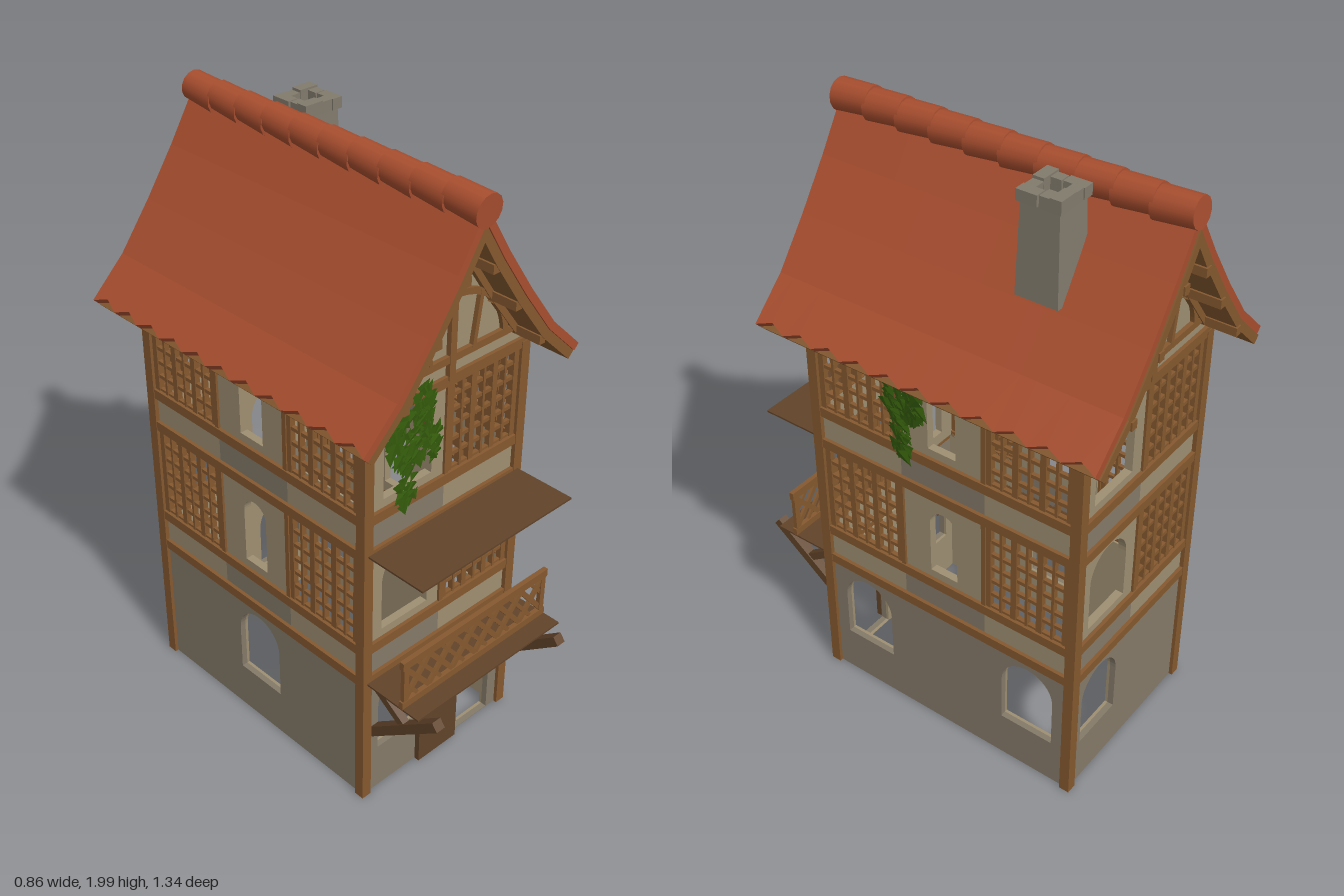
import * as THREE from 'three';

const mat = (name, color, side = THREE.FrontSide) => {
  const m = new THREE.MeshStandardMaterial({ color, side });
  m.name = name;
  return m;
};

export function createModel() {
  const wood = mat('timber', 0x85592f), dark = mat('dark wood', 0x614329);
  const plaster = mat('plaster', 0x9e8f72), stone = mat('stone wall', 0x857a69);
  const tile = mat('roof tile', 0xa84e2f), rock = mat('chimney stone', 0x827b6d);
  const leaf = mat('ivy leaf', 0x3a650e, THREE.DoubleSide);
  const house = new THREE.Group();
  house.name = 'timberHouse';

  const add = (parent, name, geo, material, x = 0, y = 0, z = 0) => {
    const m = new THREE.Mesh(geo, material);
    m.name = name;
    m.position.set(x, y, z);
    parent.add(m);
    return m;
  };
  const box = (parent, name, material, x0, x1, y0, y1, z0, z1) =>
    add(parent, name, new THREE.BoxGeometry(x1 - x0, y1 - y0, z1 - z0), material,
      (x0 + x1) / 2, (y0 + y1) / 2, (z0 + z1) / 2);
  // straight bar between two points of a vertical plane
  const bar = (parent, name, material, a, b, w, d, z) => {
    const m = add(parent, name, new THREE.BoxGeometry(Math.hypot(b[0] - a[0], b[1] - a[1]), w, d),
      material, (a[0] + b[0]) / 2, (a[1] + b[1]) / 2, z);
    m.rotation.z = Math.atan2(b[1] - a[1], b[0] - a[0]);
    return m;
  };
  const extrude = (shape, depth, steps = 1) => new THREE.ExtrudeGeometry(shape,
    { depth, steps, bevelEnabled: false, curveSegments: 10 });
  const arch = (Kind, cx, w, y0, y1, rise) => {
    const p = new Kind();
    p.moveTo(cx - w / 2, y0).lineTo(cx + w / 2, y0).lineTo(cx + w / 2, y1 - rise);
    p.absellipse(cx, y1 - rise, w / 2, rise, 0, Math.PI, false);
    p.closePath();
    return p;
  };
  const wallShape = (x0, x1, y0, y1, holes) => {
    const s = new THREE.Shape();
    s.moveTo(x0, y0).lineTo(x1, y0).lineTo(x1, y1).lineTo(x0, y1).closePath();
    s.holes = holes.map(h => arch(THREE.Path, ...h));
    return s;
  };

  // roof profile, lowered by d at right angles to the slope
  const slope = [[0, 1.95], [0.1, 1.79], [0.2, 1.645], [0.31, 1.5], [0.43, 1.385]];
  const offset = d => slope.map(([x, y], i) => {
    if (i === 0) return [0, y - d * 1.85];
    const p = slope[i - 1], q = slope[Math.min(i + 1, 4)];
    const dx = q[0] - p[0], dy = q[1] - p[1], l = Math.hypot(dx, dy);
    return [x + d * dy / l, y - d * dx / l];
  });
  const mirrored = pts => [...pts.slice(1).reverse().map(([x, y]) => [-x, y]), ...pts];
  const polygon = pts => new THREE.Shape(pts.map(p => new THREE.Vector2(...p)));
  const chevron = (d0, d1) => polygon([...mirrored(offset(d0)).reverse(), ...mirrored(offset(d1))]);

  // lattice window of thick mullions and thin bars
  const lattice = (g, cx, w, y0, y1) => {
    const n = new THREE.Group();
    n.name = 'latticeWindow';
    g.add(n);
    for (let i = 0; i <= 6; i++) {
      const t = i % 2 ? 0.009 : 0.02, x = cx - w / 2 + 0.01 + (w - 0.02) * i / 6;
      box(n, 'uprightBar', wood, x - t / 2, x + t / 2, y0, y1, -0.028, -0.01);
    }
    for (let i = 0; i <= 6; i++) {
      const y = y0 + 0.005 + (y1 - y0 - 0.01) * i / 6;
      box(n, 'crossBar', wood, cx - w / 2, cx + w / 2, y - 0.006, y + 0.006, -0.026, -0.013);
    }
  };

  // one side of the house; local z points outward and z = 0 is the timber face
  const facade = (name, half, x, z, turn, modules, groundHoles) => {
    const g = new THREE.Group();
    g.name = name;
    g.position.set(x, 0, z);
    g.rotation.y = turn;
    house.add(g);
    const ground = wallShape(-half + 0.02, half - 0.02, 0, 0.47, groundHoles);
    add(g, 'groundWall', extrude(ground, 0.02), stone, 0, 0, -0.032);
    add(g, 'groundLining', extrude(ground, 0.01), plaster, 0, 0, -0.042);
    for (const y of [0.46, 0.58, 0.93, 1.05, 1.38])
      box(g, 'beam', wood, -half + 0.01, half - 0.01, y, y + 0.033, -0.035, -0.002);
    const w = (2 * half - 0.06) / modules.length;
    modules.forEach((open, i) => {
      const cx = -half + 0.03 + w * (i + 0.5);
      [[0.49, 0.61, 0.93], [0.96, 1.08, 1.39]].forEach(([band, y0, y1], f) => {
        box(g, 'bandPanel', open ? stone : plaster, cx - w / 2, cx + w / 2, band, y0, -0.035, -0.014);
        if (!open) lattice(g, cx, w - 0.01, y0, y1);
        else {
          const small = open < 0.15;
          const bottom = y0 + 0.03, top = f ? (small ? 1.35 : 1.37) : (small ? 0.88 : 0.905);
          add(g, 'archWindowWall', extrude(wallShape(cx - w / 2, cx + w / 2, y0 - 0.01, y1 + 0.01,
            [[cx, open, bottom, top, open / 2]]), 0.026), plaster, 0, 0, -0.04);
        }
        if (i) box(g, 'stud', wood, cx - w / 2 - 0.008, cx - w / 2 + 0.008, y0, y1, -0.034, -0.006);
      });
    });
    return g;
  };

  const win = cx => [cx, 0.19, 0.165, 0.43, 0.095];
  const front = facade('frontWall', 0.33, 0, 0.41, 0, [0.19, 0],
    [win(-0.16), [0.168, 0.175, 0.002, 0.39, 0.06]]);
  const back = facade('backWall', 0.33, 0, -0.57, Math.PI, [0.19, 0], [win(-0.165)]);
  facade('leftWall', 0.49, 0.33, -0.08, Math.PI / 2, [0, 0.1, 0], [win(-0.315), win(0.315)]);
  facade('rightWall', 0.49, -0.33, -0.08, -Math.PI / 2, [0, 0.1, 0], [win(0)]);
  for (const x of [-0.3125, 0.3125]) for (const z of [-0.5525, 0.3925])
    box(house, 'cornerPost', wood, x - 0.0175, x + 0.0175, 0, 1.4, z - 0.0175, z + 0.0175);

  // gables with posts, tie beams, curved braces and struts
  const under = offset(0.055);
  const gable = polygon([[-0.32, 1.39], [0.32, 1.39], ...mirrored(under.slice(0, 4)).reverse()]);
  for (const g of [front, back]) {
    add(g, 'gableWall', extrude(gable, 0.026), plaster, 0, 0, -0.04);
    box(g, 'kingPost', wood, -0.012, 0.012, 1.4, 1.87, -0.02, 0.002);
    box(g, 'tieBeam', wood, -0.29, 0.29, 1.455, 1.478, -0.02, 0);
    for (const s of [-1, 1]) {
      const arc = new THREE.Shape(), a0 = s > 0 ? 0.05 : Math.PI - 0.05, a1 = Math.PI / 2 - s * 0.06;
      arc.absellipse(0, 1.46, 0.225, 0.21, a0, a1, s < 0);
      arc.absellipse(0, 1.46, 0.205, 0.19, a1, a0, s > 0);
      add(g, 'curvedBrace', extrude(arc, 0.02), wood, 0, 0, -0.02);
      bar(g, 'strut', wood, [s * 0.085, 1.47], [s * 0.11, 1.64], 0.014, 0.02, -0.009);
      bar(g, 'strut', wood, [s * 0.15, 1.59], [s * 0.2, 1.56], 0.014, 0.02, -0.009);
      for (let i = 0; i < 3; i++)
        bar(g, 'gableRafter', wood, [s * under[i][0], under[i][1] - 0.012],
          [s * under[i + 1][0], under[i + 1][1] - 0.012], 0.026, 0.024, -0.008);
    }
  }

  // roof: zigzag tile eaves over a timber deck
  const tiles = extrude(chevron(0, 0.025), 1.17, 22);
  const pos = tiles.attributes.position;
  for (let i = 0; i < pos.count; i++) {
    const x = pos.getX(i), step = Math.round(pos.getZ(i) / 1.17 * 22);
    if (Math.abs(x) > 0.38 && step % 2) {
      pos.setX(i, x - Math.sign(x) * 0.016);
      pos.setY(i, pos.getY(i) + 0.016);
    }
  }
  tiles.computeVertexNormals();
  add(house, 'roofTiles', tiles, tile, 0, 0, -0.665);
  add(house, 'roofDeck', extrude(chevron(0.026, 0.055), 1.172), wood, 0, 0, -0.67);
  for (const s of [-1, 1]) for (const i of [1, 2, 3])
    box(house, 'purlin', wood, s * under[i][0] - 0.012, s * under[i][0] + 0.012,
      under[i][1] - 0.02, under[i][1] + 0.008, -0.675, 0.5);
  for (let i = 0; i < 10; i++) {
    const m = add(house, 'ridgeTile', new THREE.CylinderGeometry(0.05, 0.046, 0.126, 14),
      tile, 0, 1.943, 0.448 - i * 0.117);
    m.rotation.x = Math.PI / 2 + 0.08;
  }

  // chimney: waisted square shaft with a ring of cap stones
  const shaft = new THREE.CylinderGeometry(0.086, 0.098, 0.29, 4, 3, true);
  shaft.rotateY(Math.PI / 4);
  add(house, 'chimneyShaft', shaft.toNonIndexed(), rock, 0.14, 1.805, -0.32).geometry.computeVertexNormals();
  box(house, 'chimneyFloor', rock, 0.09, 0.19, 1.91, 1.93, -0.37, -0.27);
  for (let i = 0; i < 4; i++) {
    const g = new THREE.Group();
    g.name = 'capStones';
    g.position.set(0.14, 0, -0.32);
    g.rotation.y = i * Math.PI / 2;
    house.add(g);
    box(g, 'capStone', rock, -0.07, -0.004, 1.938, 1.978 - (i % 2) * 0.006, 0.034, 0.07);
    box(g, 'capStone', rock, 0, 0.034, 1.936, 1.972, 0.032, 0.066);
  }

  // open door leaf beside the doorway
  const door = new THREE.Group();
  door.name = 'door';
  door.position.z = 0.402;
  house.add(door);
  add(door, 'doorLeaf', extrude(arch(THREE.Shape, -0.005, 0.17, 0.005, 0.37, 0.04), 0.018), dark);
  add(door, 'doorPane', extrude(arch(THREE.Shape, -0.005, 0.1, 0.205, 0.28, 0.02), 0.004), rock, 0, 0, 0.017);
  for (const x of [-0.03, -0.005, 0.02])
    box(door, 'doorGrille', dark, x - 0.004, x + 0.004, 0.205, 0.28, 0.018, 0.025);
  box(door, 'doorGrille', dark, -0.055, 0.045, 0.237, 0.245, 0.018, 0.025);

  // balcony floor, canopy, railing and brackets
  box(house, 'balconyFloor', dark, -0.314, 0.314, 0.468, 0.474, 0.41, 0.62);
  box(house, 'canopy', dark, -0.314, 0.314, 0.948, 0.954, 0.41, 0.62);
  const rail = new THREE.Group();
  rail.name = 'railing';
  rail.position.z = 0.55;
  house.add(rail);
  box(rail, 'topRail', wood, -0.315, 0.315, 0.622, 0.65, -0.008, 0.008);
  box(rail, 'bottomRail', wood, -0.315, 0.315, 0.472, 0.498, -0.008, 0.008);
  for (let i = 0; i <= 6; i++) {
    const x = -0.3 + i * 0.1;
    if (i % 6 === 0) box(rail, 'railPost', wood, x - 0.01, x + 0.01, 0.49, 0.63, -0.007, 0.007);
    if (i === 6) break;
    for (const [a, b] of [[0.5, 0.62], [0.62, 0.5]])
      bar(rail, 'railCross', wood, [x, a], [x + 0.1, b], 0.017, 0.01, 0);
    for (const s of [-1, 1])
      bar(rail, 'railDiamond', wood, [x + 0.05 + s * 0.05, 0.56], [x + 0.05, 0.56 + s * 0.06], 0.013, 0.008, 0);
  }
  for (const x of [-0.27, 0.27]) {
    const g = new THREE.Group();
    g.name = 'bracket';
    g.position.x = x;
    g.rotation.y = -Math.PI / 2;
    house.add(g);
    bar(g, 'bracketStrut', dark, [0.395, 0.25], [0.66, 0.455], 0.032, 0.034, 0);
    bar(g, 'bracketBrace', dark, [0.53, 0.36], [0.4, 0.45], 0.026, 0.026, 0);
  }

  // ivy: scattered pointed leaves in a hanging clump
  let seed = 7;
  const rnd = () => (seed = (seed * 16807) % 2147483647) / 2147483647;
  const ivy = (parent, blobs, z) => {
    const v = [];
    for (const [cx, cy, rx, ry, n] of blobs) for (let i = 0; i < n; i++) {
      const a = rnd() * 6.283, r = Math.sqrt(rnd()), x = cx + r * rx * Math.cos(a), y = cy + r * ry * Math.sin(a);
      const s = 0.02 + rnd() * 0.014, t = (rnd() - 0.5) * 1.4, d = z + rnd() * 0.012;
      const at = (u, w, k) => [x + s * (u * Math.cos(t) - w * Math.sin(t)), y + s * (u * Math.sin(t) + w * Math.cos(t)), d + k];
      const tip = at(0, -1.3, -0.004), l = at(-0.8, 0.3, 0), rt = at(0.8, 0.3, 0), top = at(0, 0.6, 0.008);
      v.push(...tip, ...rt, ...top, ...tip, ...top, ...l);
    }
    const geo = new THREE.BufferGeometry();
    geo.setAttribute('position', new THREE.Float32BufferAttribute(v, 3));
    geo.computeVertexNormals();
    add(parent, 'ivy', geo, leaf);
  };
  ivy(front, [[-0.17, 1.29, 0.08, 0.09, 75], [-0.12, 1.38, 0.035, 0.06, 25],
    [-0.18, 1.15, 0.03, 0.08, 25], [-0.07, 1.24, 0.02, 0.06, 14]], 0.004);
  ivy(house.getObjectByName('leftWall'), [[-0.12, 1.27, 0.07, 0.09, 60], [-0.1, 1.33, 0.03, 0.03, 10],
    [-0.13, 1.12, 0.025, 0.08, 25]], 0.004);
  return house;
}
